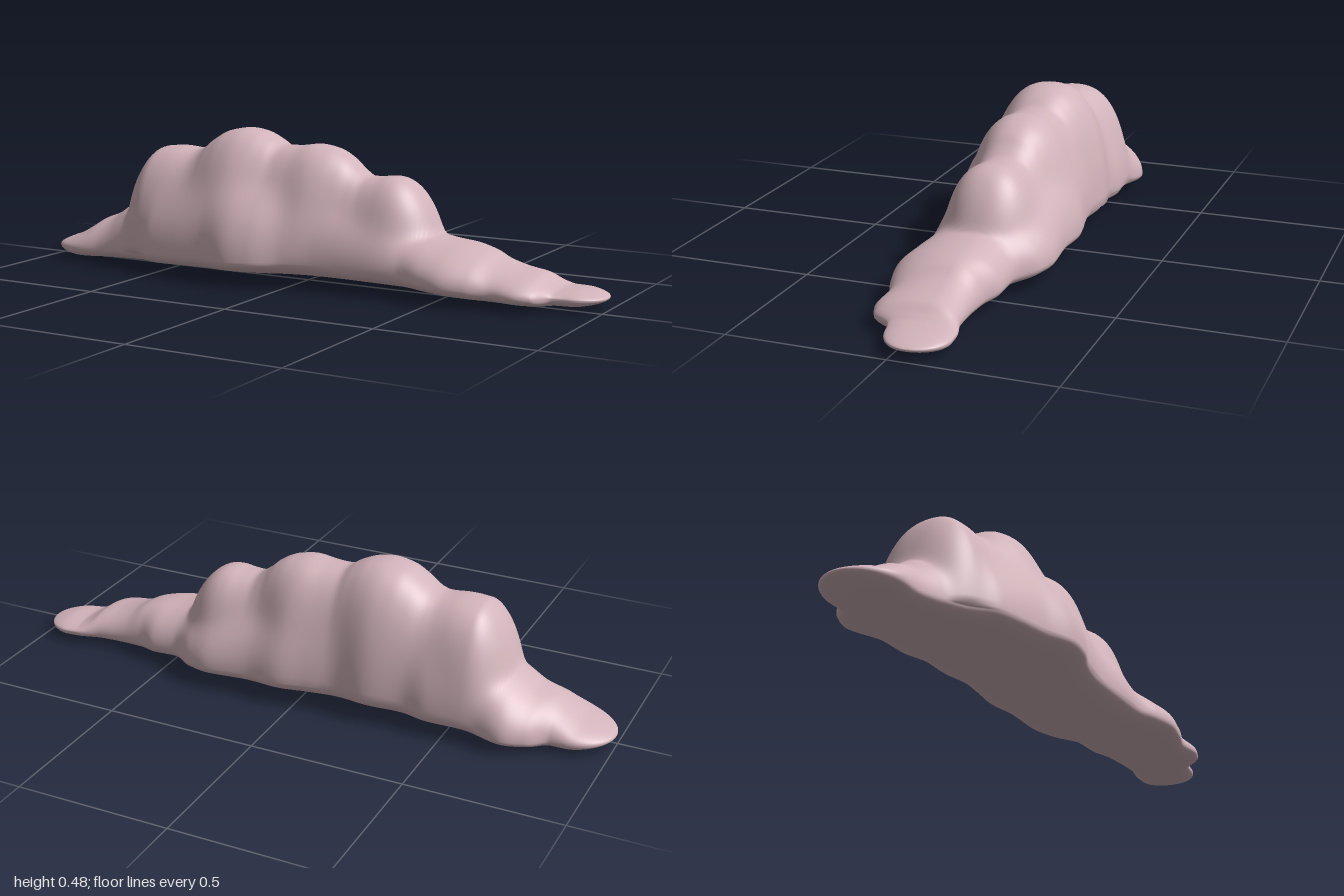
import * as THREE from 'three';

// smooth curve through [x, value] pairs, without overshoot
function profile(points) {
  const n = points.length;
  const slope = i => (points[i + 1][1] - points[i][1]) / (points[i + 1][0] - points[i][0]);
  const tangents = points.map((p, i) => {
    if (i === 0 || i === n - 1) return 0;
    const a = slope(i - 1), b = slope(i);
    return a * b <= 0 ? 0 : (2 * a * b) / (a + b);
  });
  return x => {
    if (x <= points[0][0]) return points[0][1];
    if (x >= points[n - 1][0]) return points[n - 1][1];
    let i = 0;
    while (x > points[i + 1][0]) i++;
    const w = points[i + 1][0] - points[i][0], t = (x - points[i][0]) / w;
    const t2 = t * t, t3 = t2 * t;
    return (2 * t3 - 3 * t2 + 1) * points[i][1] + (t3 - 2 * t2 + t) * w * tangents[i]
      + (3 * t2 - 2 * t3) * points[i + 1][1] + (t3 - t2) * w * tangents[i + 1];
  };
}

// rounded end: 0 at the tip, 1 from distance r inwards
const cap = (d, r) => d <= 0 ? 0 : d >= r ? 1 : Math.sqrt(1 - (1 - d / r) ** 2);

// outline of the flat base seen from above
const frontEdge = profile([[-1, 0.1], [-0.86, 0.11], [-0.77, 0.1], [-0.6, 0.135], [-0.5, 0.19],
  [-0.4, 0.205], [-0.3, 0.213], [-0.18, 0.24], [-0.1, 0.225], [0, 0.18], [0.1, 0.155], [0.25, 0.145],
  [0.38, 0.14], [0.47, 0.165], [0.54, 0.177], [0.62, 0.16], [0.7, 0.135], [0.76, 0.14], [0.82, 0.12],
  [0.86, 0.06], [0.92, 0.045], [1, 0.04]]);
const backEdge = profile([[-1, -0.14], [-0.83, -0.15], [-0.77, -0.2], [-0.69, -0.232], [-0.57, -0.21],
  [-0.45, -0.22], [-0.36, -0.205], [-0.24, -0.217], [-0.15, -0.21], [-0.05, -0.225], [0.06, -0.245],
  [0.16, -0.236], [0.3, -0.245], [0.38, -0.225], [0.47, -0.17], [0.55, -0.165], [0.62, -0.14],
  [0.72, -0.13], [0.78, -0.132], [0.86, -0.152], [0.92, -0.155], [1, -0.155]]);

// heights of the low base and the tall puffs
const baseTop = profile([[-1, 0.065], [-0.94, 0.075], [-0.9, 0.085], [-0.85, 0.112], [-0.81, 0.138],
  [-0.75, 0.162], [-0.7, 0.195], [-0.55, 0.28], [-0.25, 0.36], [0, 0.33], [0.25, 0.26], [0.44, 0.19],
  [0.5, 0.178], [0.57, 0.17], [0.63, 0.155], [0.68, 0.13], [0.74, 0.112], [0.8, 0.1], [0.84, 0.075],
  [0.87, 0.063], [0.92, 0.062], [1, 0.055]]);
const puffTop = profile([[-0.7, 0.37], [-0.62, 0.385], [-0.56, 0.402], [-0.5, 0.406], [-0.43, 0.4],
  [-0.4, 0.408], [-0.35, 0.445], [-0.3, 0.471], [-0.24, 0.48], [-0.19, 0.473], [-0.14, 0.452],
  [-0.1, 0.43], [-0.05, 0.432], [0.02, 0.441], [0.08, 0.432], [0.13, 0.408], [0.17, 0.373],
  [0.21, 0.35], [0.25, 0.352], [0.29, 0.357], [0.35, 0.35], [0.47, 0.33]]);
const puffWidth = profile([[-0.7, 0.175], [-0.55, 0.178], [-0.41, 0.163], [-0.25, 0.188], [-0.1, 0.158],
  [0.03, 0.168], [0.17, 0.132], [0.3, 0.145], [0.47, 0.14]]);
const underside = profile([[-1, 0.012], [-0.88, 0.0], [-0.75, 0.005], [-0.4, 0.018], [0, 0.025],
  [0.4, 0.02], [0.75, 0.008], [0.9, 0.008], [1, 0.015]]);
const rimHeight = profile([[-1, 0.038], [-0.8, 0.045], [-0.5, 0.07], [0, 0.085], [0.4, 0.075],
  [0.7, 0.05], [1, 0.038]]);

function cloudGeometry(rings, sides) {
  const positions = [], index = [];
  for (let i = 0; i <= rings; i++) {
    const x = -Math.cos(Math.PI * i / rings);
    const tip = cap(x + 1, 0.13) * cap(1 - x, 0.1) + 1e-5;
    const puff = cap(x + 0.69, 0.13) * cap(0.46 - x, 0.15);
    const z0 = -0.035 - 0.015 * x, rim = rimHeight(x);
    const baseH = (baseTop(x) - rim) * tip;
    const puffH = (puffTop(x) - rim) * puff, puffW = puffWidth(x) * puff;
    const depth = (rim - underside(x)) * tip;
    const tall = Math.max(baseH, puffH);
    for (let j = 0; j < sides; j++) {
      const t = 2 * Math.PI * j / sides, c = Math.cos(t), s = Math.sin(t);
      const half = (c > 0 ? frontEdge(x) - z0 : z0 - backEdge(x)) * tip;
      if (s < 0) {
        // flattened underside
        positions.push(x, rim - depth * Math.pow(-s, 0.8), z0 + half * c);
        continue;
      }
      // blend the base ellipse with the narrower puff above it
      const dz = half * c, dy = tall * s;
      const base = 1 / Math.hypot(dz / half, dy / baseH);
      const top = puff > 0.001
        ? Math.pow(Math.abs(dz / puffW) ** 2.4 + (dy / puffH) ** 2.4, -1 / 2.4) : 0;
      const r = Math.pow(base ** 10 + top ** 10, 0.1);
      positions.push(x, rim + dy * r, z0 + dz * r);
    }
  }
  for (let i = 0; i < rings; i++) {
    for (let j = 0; j < sides; j++) {
      const a = i * sides + j, b = i * sides + (j + 1) % sides;
      index.push(a, a + sides, b, b, a + sides, b + sides);
    }
  }
  const geometry = new THREE.BufferGeometry();
  geometry.setAttribute('position', new THREE.Float32BufferAttribute(positions, 3));
  geometry.setIndex(index);
  geometry.computeVertexNormals();
  return geometry;
}

export function createModel() {
  const group = new THREE.Group();
  group.name = 'cloud';
  const material = new THREE.MeshStandardMaterial({ color: 0xd2b4bb });
  material.name = 'dusty pink';
  const cloud = new THREE.Mesh(cloudGeometry(300, 96), material);
  cloud.name = 'cloudBody';
  group.add(cloud);
  return group;
}
